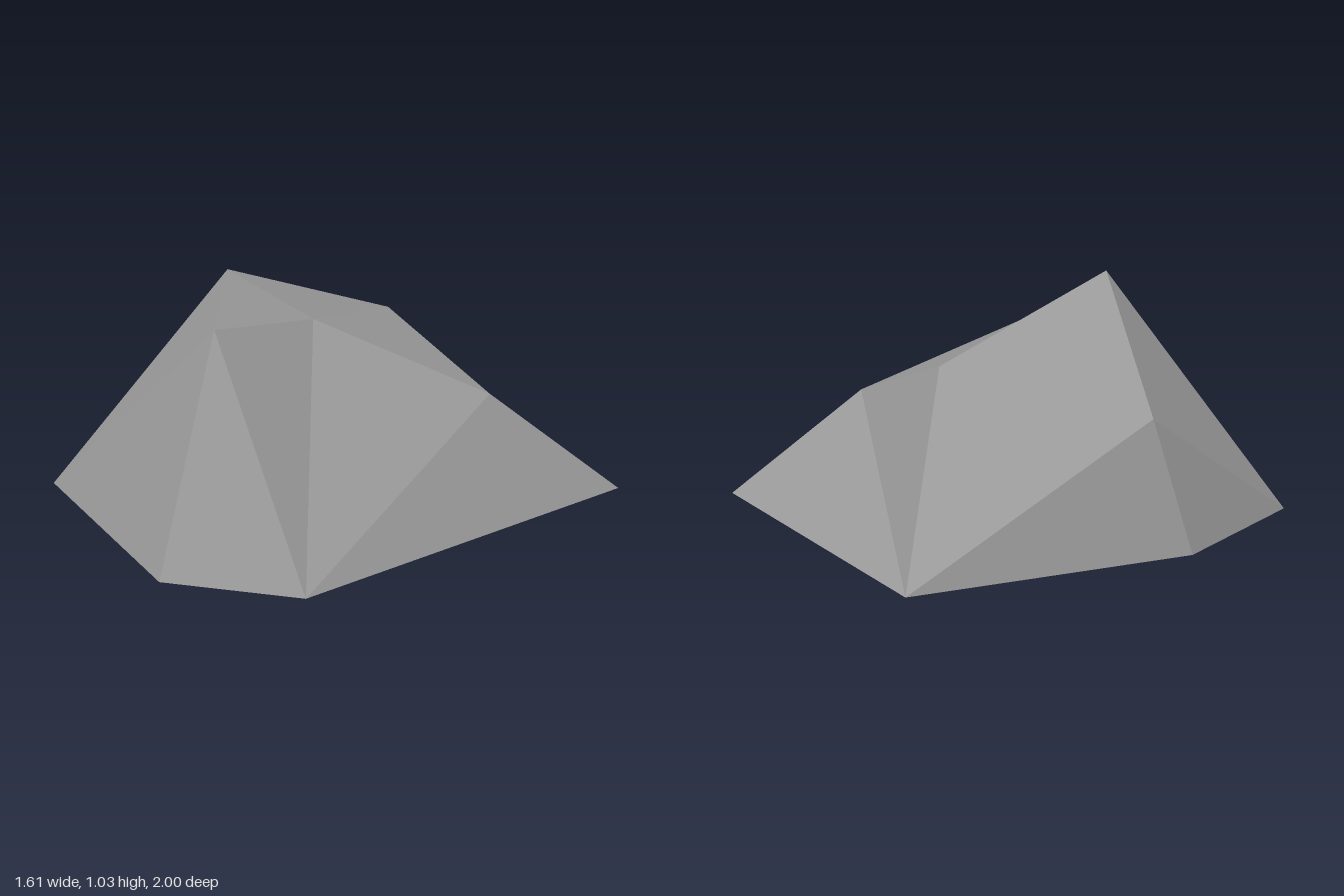
import * as THREE from 'three';

export function createModel() {
  const group = new THREE.Group();
  group.name = 'boulder';
  const stone = new THREE.MeshStandardMaterial({ color: 0x999999, flatShading: true });
  stone.name = 'stone grey';

  // Corners of the ground outline, then of the crown
  const corners = {
    backLeft: [0.80, 0.01, -1.0],
    sideLeft: [0.77, 0.01, 0.62],
    frontLeft: [0.34, 0, 0.995],
    frontRight: [-0.635, 0.02, 0.985],
    sideRight: [-0.81, 0.025, 0.34],
    backRight: [-0.54, 0.02, -0.80],
    peak: [-0.06, 1.03, 0.42],
    brow: [0.165, 0.88, 0.62],
    saddle: [0.13, 0.82, 0.14],
    shoulder: [0.53, 0.485, -0.47],
    rear: [-0.045, 0.725, -0.38],
    cheek: [-0.655, 0.57, 0.24],
  };

  // Facets, each listed counter-clockwise from outside
  const facets = [
    // top and right slopes
    'peak rear cheek', 'rear backRight cheek', 'backRight sideRight cheek',
    'cheek sideRight frontRight', 'cheek frontRight peak',
    // front
    'peak frontRight brow', 'brow frontRight frontLeft', 'brow frontLeft sideLeft',
    // left and back slopes
    'brow sideLeft saddle', 'saddle sideLeft shoulder', 'shoulder sideLeft backLeft',
    'shoulder backLeft backRight', 'shoulder backRight rear',
    // hollow beside the peak
    'saddle shoulder rear', 'peak saddle rear', 'peak brow saddle',
    // underside
    'backLeft sideLeft frontLeft frontRight sideRight backRight',
  ];

  // Fan each facet into triangles with their own corners
  const positions = [];
  for (const facet of facets) {
    const loop = facet.split(' ').map((name) => corners[name]);
    for (let i = 1; i < loop.length - 1; i++) positions.push(...loop[0], ...loop[i], ...loop[i + 1]);
  }
  const geometry = new THREE.BufferGeometry();
  geometry.setAttribute('position', new THREE.Float32BufferAttribute(positions, 3));
  geometry.computeVertexNormals();

  const rock = new THREE.Mesh(geometry, stone);
  rock.name = 'rock';
  group.add(rock);
  return group;
}
